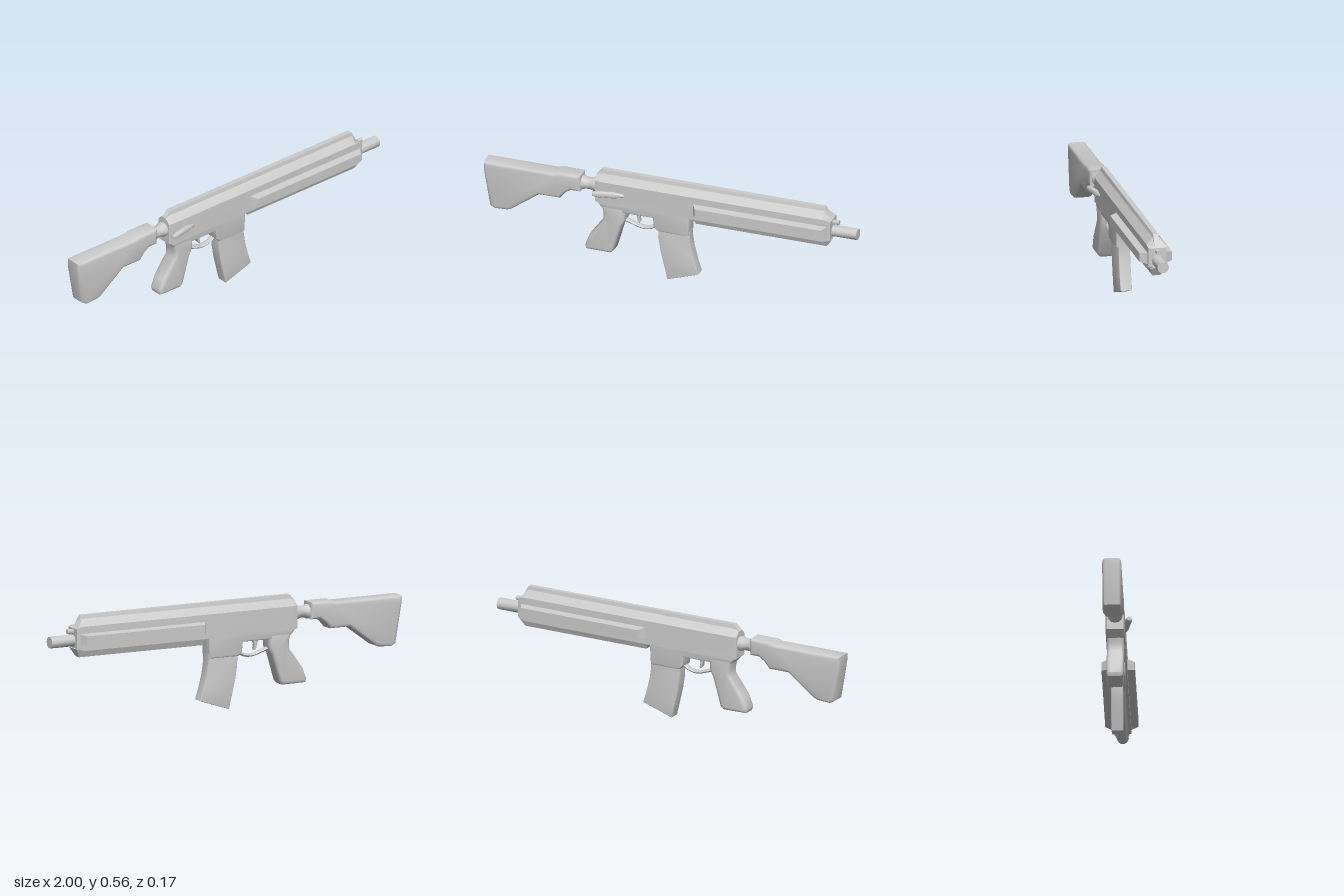
import * as THREE from 'three';
import { toCreasedNormals } from 'three/addons/utils/BufferGeometryUtils.js';

const material = new THREE.MeshStandardMaterial({ color: 0xcccccc });

export function createModel() {
  const model = new THREE.Group();
  model.name = 'rifle';

  const add = (name, geometry, x = 0, y = 0, z = 0, crease = 0.7) => {
    const mesh = new THREE.Mesh(toCreasedNormals(geometry, crease), material);
    mesh.name = name;
    mesh.position.set(x, y, z);
    model.add(mesh);
    return mesh;
  };

  // Side outline given a thickness and softened edges
  const slab = (name, points, half, bevel) => {
    const shape = new THREE.Shape(points.map(([x, y]) => new THREE.Vector2(x, y)));
    const geometry = new THREE.ExtrudeGeometry(shape, {
      depth: 2 * (half - bevel), bevelThickness: bevel, bevelSize: bevel,
      bevelOffset: -bevel, bevelSegments: 3,
    });
    return add(name, geometry.translate(0, 0, bevel - half));
  };

  // Turned part lying along x, profile as [radius, distance]
  const turned = (profile, sides) => new THREE.LatheGeometry(
    profile.map(([r, d]) => new THREE.Vector2(r, d)), sides).rotateZ(-Math.PI / 2);

  // Box whose +z face is smaller, giving sloped flanks and ends
  const rail = (length, height, depth, sx, sy) => {
    const geometry = new THREE.BoxGeometry(length, height, depth);
    const p = geometry.attributes.position;
    for (let i = 0; i < p.count; i++) {
      if (p.getZ(i) > 0) p.setXY(i, p.getX(i) * sx, p.getY(i) * sy);
    }
    return geometry;
  };

  // Main housing: one section lofted along x, cut lower at both ends
  const half = [[0.556, 0.013], [0.535, 0.017], [0.5, 0.048], [0.375, 0.048]];
  const section = [...half, ...half.map(([y, z]) => [y, -z]).reverse()];
  const stations = [ // x, lowest y, highest y, width scale
    [-0.4, 0.385, 0.525, 0.88], [-0.37, 0.375, 0.556, 1],
    [0.824, 0.375, 0.553, 1], [0.855, 0.385, 0.497, 1], [0.866, 0.39, 0.49, 0.97],
  ];
  const verts = [], faces = [], n = section.length;
  for (const [x, low, high, w] of stations) {
    for (const [y, z] of section) verts.push(x, Math.min(high, Math.max(low, y)), z * w);
  }
  const last = (stations.length - 1) * n, backCentre = verts.length / 3;
  verts.push(-0.4, 0.45, 0, 0.866, 0.45, 0);
  for (let j = 0; j < n; j++) {
    const k = (j + 1) % n;
    for (let r = 0; r < last; r += n) {
      faces.push(r + j, r + k, r + n + j, r + k, r + n + k, r + n + j);
    }
    faces.push(backCentre, k, j, backCentre + 1, last + j, last + k);
  }
  const housing = new THREE.BufferGeometry();
  housing.setAttribute('position', new THREE.Float32BufferAttribute(verts, 3));
  housing.setIndex(faces);
  add('housing', housing, 0, 0, 0, 0.5);

  // Lower receiver with the magazine well
  slab('lowerReceiver', [
    [-0.395, 0.41], [-0.395, 0.385], [-0.365, 0.352], [-0.27, 0.34], [-0.09, 0.34],
    [-0.085, 0.29], [-0.065, 0.27], [0.1, 0.27], [0.108, 0.41],
  ], 0.042, 0.008);

  // Side and bottom rails of the fore-end
  for (const side of [1, -1]) {
    const geometry = rail(0.732, 0.064, 0.046, 0.925, 0.7);
    if (side < 0) geometry.rotateY(Math.PI);
    add(side > 0 ? 'leftRail' : 'rightRail', geometry, 0.489, 0.434, side * 0.061);
  }
  add('bottomRail', rail(0.756, 0.076, 0.045, 0.93, 0.53).rotateX(Math.PI / 2), 0.488, 0.3625, 0);

  // Barrel and the small tube above it
  add('barrel', turned([[0, 0], [0.03, 0], [0.03, 0.16], [0, 0.16]], 10), 0.84, 0.426);
  add('gasTube', turned([[0, 0], [0.012, 0], [0.012, 0.06], [0, 0.06]], 10), 0.84, 0.474);

  // Shoulder stock and its connecting tube
  slab('stock', [
    [-1, 0.5], [-0.62, 0.5], [-0.6, 0.508], [-0.48, 0.508], [-0.48, 0.42],
    [-0.53, 0.42], [-0.56, 0.4], [-0.59, 0.365], [-0.7, 0.365], [-0.85, 0.255],
    [-0.87, 0.247], [-0.94, 0.243], [-0.965, 0.257], [-1, 0.46],
  ], 0.048, 0.016);
  add('stockTube', turned([
    [0, 0], [0.037, 0], [0.037, 0.04], [0.031, 0.048], [0.031, 0.08],
    [0.038, 0.095], [0.038, 0.12], [0, 0.12],
  ], 12), -0.51, 0.458);

  // Pistol grip
  slab('grip', [
    [-0.37, 0.37], [-0.358, 0.325], [-0.358, 0.285], [-0.435, 0.18], [-0.457, 0.12],
    [-0.45, 0.1], [-0.32, 0.098], [-0.302, 0.115], [-0.26, 0.26], [-0.24, 0.3], [-0.24, 0.37],
  ], 0.043, 0.018);

  // Trigger and its guard
  const guardPath = new THREE.CatmullRomCurve3([
    [-0.25, 0.29], [-0.21, 0.277], [-0.155, 0.262], [-0.11, 0.268], [-0.08, 0.285],
  ].map(([x, y]) => new THREE.Vector3(x, y, 0)));
  add('triggerGuard', new THREE.TubeGeometry(guardPath, 16, 0.009, 8)).scale.z = 1.8;
  slab('trigger', [
    [-0.2, 0.35], [-0.185, 0.315], [-0.183, 0.298], [-0.172, 0.286],
    [-0.167, 0.29], [-0.172, 0.315], [-0.16, 0.35],
  ], 0.012, 0.003);

  // Forward-curving magazine
  slab('magazine', [
    [-0.064, 0.29], [-0.062, 0.22], [-0.05, 0.145], [-0.033, 0.075], [-0.015, 0],
    [0.15, 0.055], [0.128, 0.125], [0.112, 0.19], [0.103, 0.25], [0.103, 0.29],
  ], 0.03, 0.003);

  // Slanted charging handle, on the left side only
  add('chargingHandle', turned([
    [0, 0], [0.012, 0], [0.017, 0.03], [0.017, 0.11], [0.01, 0.16], [0, 0.194],
  ], 10).rotateY(0.19), -0.403, 0.441, 0.073);

  model.position.z = -0.007;
  return model;
}
